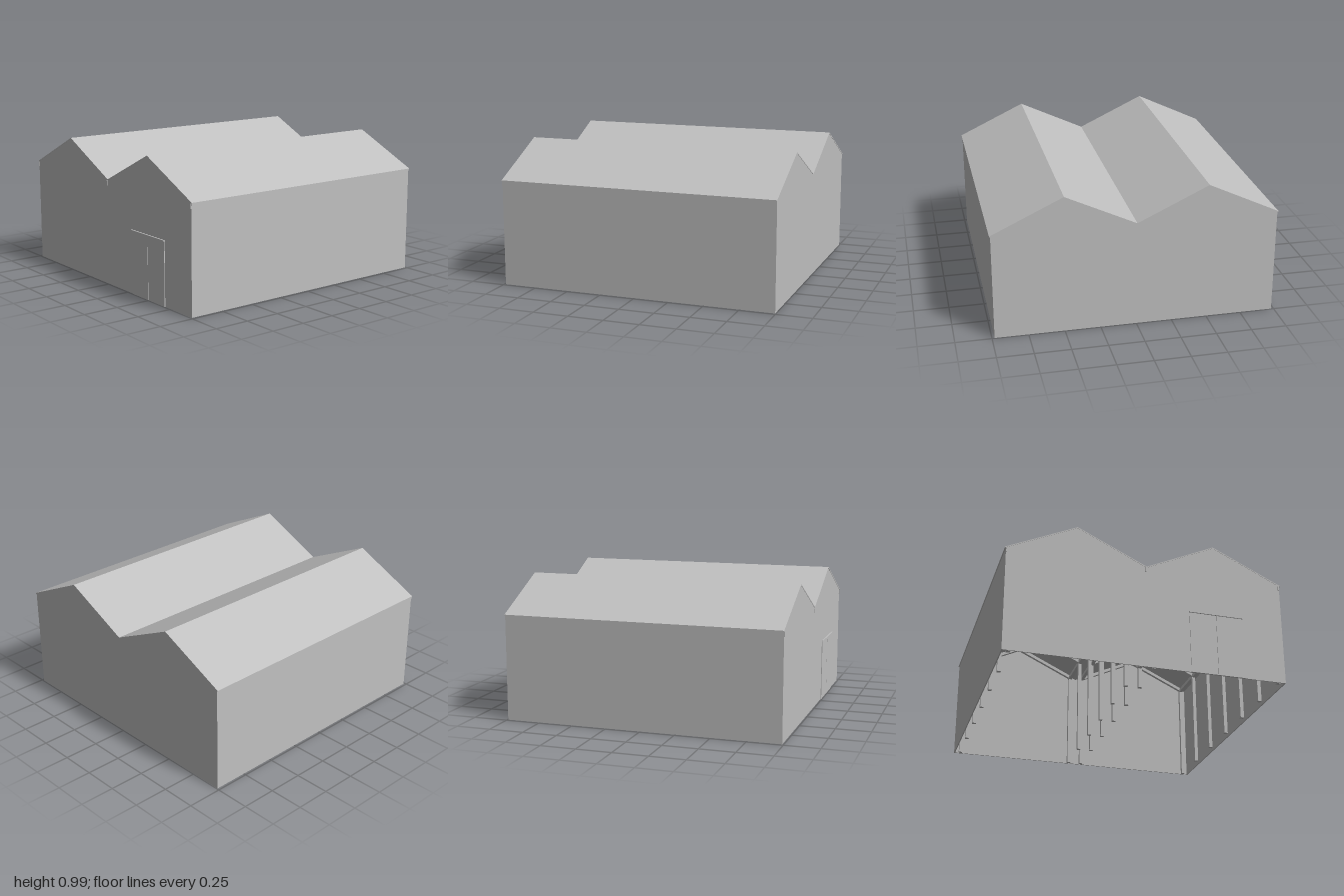
import * as THREE from 'three';

const EAVE = 0.757, RIDGE = 0.99, HALF = 0.985, MID = 0.4925;
const FRONT = 0.99, BACK = -0.995, SKIN = 0.008;

export function createModel() {
  const model = new THREE.Group();
  model.name = 'twinGableShed';
  const steel = new THREE.MeshStandardMaterial({ color: 0xc0c0c0, side: THREE.DoubleSide });
  steel.name = 'light grey metal';

  function add(parent, name, geometry, x = 0, y = 0, z = 0) {
    const mesh = new THREE.Mesh(geometry, steel);
    mesh.name = name;
    mesh.position.set(x, y, z);
    parent.add(mesh);
    return mesh;
  }
  const box = (parent, name, w, h, d, x, y, z) =>
    add(parent, name, new THREE.BoxGeometry(w, h, d), x, y, z);

  function extrude(points, depth) {
    const shape = new THREE.Shape(points.map(([x, y]) => new THREE.Vector2(x, y)));
    return new THREE.ExtrudeGeometry(shape, { depth, bevelEnabled: false });
  }

  // End walls follow the double gable outline
  const W = HALF - 0.003;
  const outline = [[-W, 0], [W, 0], [W, EAVE - 0.004], [MID, RIDGE - 0.004],
    [0, EAVE - 0.004], [-MID, RIDGE - 0.004], [-W, EAVE - 0.004]];
  add(model, 'frontWall', extrude(outline, SKIN), 0, 0, FRONT - SKIN);
  add(model, 'backWall', extrude(outline, SKIN), 0, 0, BACK);

  // Side walls
  const length = FRONT - BACK, midZ = (FRONT + BACK) / 2;
  for (const s of [-1, 1]) {
    box(model, s > 0 ? 'leftWall' : 'rightWall', SKIN, EAVE - 0.004, length,
      s * (W - SKIN / 2), (EAVE - 0.004) / 2, midZ);
  }

  // Folded roof sheet
  const top = [[-HALF - 0.004, EAVE - 0.002], [-MID, RIDGE], [0, EAVE], [MID, RIDGE], [HALF + 0.004, EAVE - 0.002]];
  const under = top.map(([x, y]) => [x, y - SKIN]).reverse();
  add(model, 'roof', extrude([...top, ...under], length + 0.004), 0, 0, BACK - 0.002);

  // Portal frames: each bay has its own posts and rafters
  const frames = new THREE.Group();
  frames.name = 'portalFrames';
  model.add(frames);
  const T = 0.026;
  const outer = 0.455, inner = outer - T;
  const slope = (RIDGE - EAVE) / MID;
  const roofY = x => RIDGE - 0.012 - slope * Math.abs(x);
  const portal = [[-outer, 0], [-outer, roofY(outer)], [0, roofY(0)], [outer, roofY(outer)], [outer, 0],
    [inner, 0], [inner, roofY(inner) - T], [0, roofY(0) - T], [-inner, roofY(inner) - T], [-inner, 0]];
  const portalGeometry = extrude(portal, T);
  for (const s of [-1, 1]) {
    for (let i = 0; i < 7; i++) {
      const z = BACK + 0.012 + i * (length - 0.024 - T) / 6;
      add(frames, 'portalFrame', portalGeometry, s * MID, 0, z);
    }
    // Eave beams along the post tops
    for (const e of [-1, 1]) {
      box(frames, 'eaveBeam', T, T, length - 0.03,
        s * MID + e * (outer - T / 2), roofY(outer) - T / 2, midZ);
    }
  }

  // Double sliding door with its overhead rail
  const door = new THREE.Group();
  door.name = 'slidingDoor';
  model.add(door);
  for (const s of [-1, 1]) {
    box(door, 'doorLeaf', 0.191, 0.444, 0.005, 0.4925 + s * 0.097, 0.222, FRONT + 0.0025);
  }
  box(door, 'doorRail', 0.392, 0.008, 0.01, 0.4925, 0.45, FRONT + 0.005);

  // Small gutter outlets at the front of each eave and the valley
  for (const x of [-0.977, -0.008, 0.977]) {
    box(model, 'gutterOutlet', 0.008, 0.035, 0.005, x, 0.732, FRONT + 0.0025);
  }
  return model;
}
